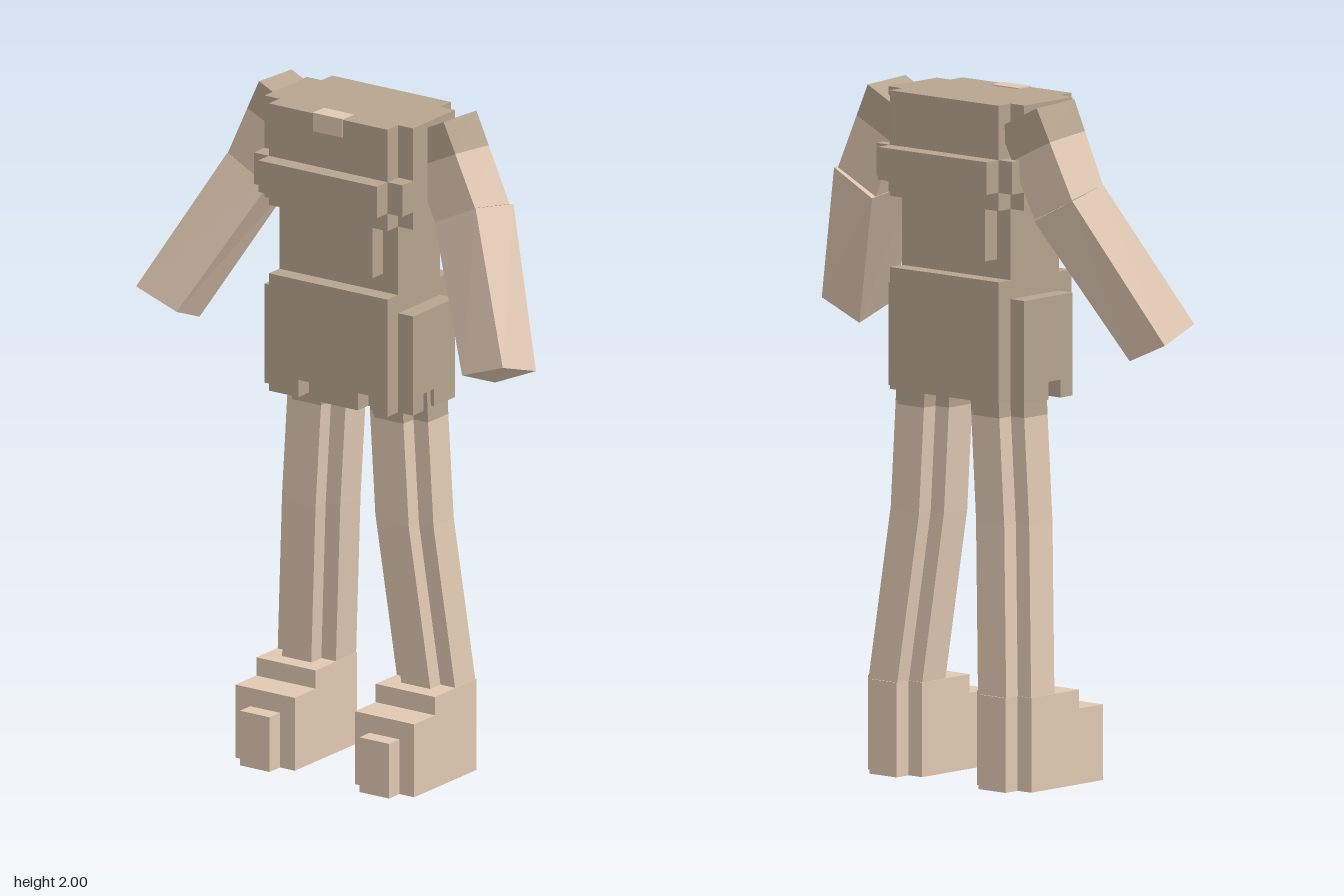
import * as THREE from 'three';

const skin = new THREE.MeshStandardMaterial({ name: 'skin', color: 0xe0c8b2 });
const cloth = new THREE.MeshStandardMaterial({ name: 'cloth', color: 0xb6a48f });

const V = 0.0522; // edge of one block
const CX = 0.007, CZ = -0.012; // torso axis

function add(group, name, geometry, material) {
  const mesh = new THREE.Mesh(geometry, material);
  mesh.name = name;
  group.add(mesh);
}

function box(x0, x1, y0, y1, z0, z1) {
  return new THREE.BoxGeometry(x1 - x0, y1 - y0, z1 - z0)
    .translate((x0 + x1) / 2, (y0 + y1) / 2, (z0 + z1) / 2);
}

// Rectangle with one block missing at each corner, in block units
const notched = (a, b) => [
  [a, 1 - b], [a, b - 1], [a - 1, b - 1], [a - 1, b], [1 - a, b], [1 - a, b - 1],
  [-a, b - 1], [-a, 1 - b], [1 - a, 1 - b], [1 - a, -b], [a - 1, -b], [a - 1, 1 - b],
];

// Upright slab from an outline on the floor plane
function slab(points, y0, y1) {
  const shape = new THREE.Shape(points.map(([x, z]) => new THREE.Vector2(x * V, z * V)));
  return new THREE.ExtrudeGeometry(shape, { depth: y1 - y0, bevelEnabled: false })
    .rotateX(Math.PI / 2).translate(CX, y1, CZ);
}

// Flat-sided skin over a chain of rings, capped at both ends; side -1 mirrors it
function loft(rings, side) {
  const r = rings.map(ring => {
    const pts = ring.map(([x, y, z]) => [x * side, y, z]);
    return side < 0 ? pts.reverse() : pts;
  });
  const pos = [];
  const tri = (...p) => p.forEach(q => pos.push(...q));
  const centre = ring => [0, 1, 2].map(k => ring.reduce((s, p) => s + p[k], 0) / ring.length);
  const n = r[0].length, last = r[r.length - 1];
  const top = centre(r[0]), bottom = centre(last);
  for (let i = 0; i < n; i++) {
    const j = (i + 1) % n;
    for (let k = 0; k + 1 < r.length; k++) {
      tri(r[k][i], r[k][j], r[k + 1][j]);
      tri(r[k][i], r[k + 1][j], r[k + 1][i]);
    }
    tri(top, r[0][j], r[0][i]);
    tri(bottom, last[i], last[j]);
  }
  const g = new THREE.BufferGeometry();
  g.setAttribute('position', new THREE.Float32BufferAttribute(pos, 3));
  g.computeVertexNormals();
  return g;
}

const mix = (a, b, t) => a.map((p, i) => p.map((v, k) => v + (b[i][k] - v) * t));

function makeTorso() {
  const g = new THREE.Group();
  g.name = 'torso';
  add(g, 'shoulders', slab(notched(5, 3), 1.83, 1.988), cloth);
  // Chest band stands out one block at front and back
  add(g, 'chestBand', slab([...notched(5, 4)], 1.735, 1.83), cloth);
  add(g, 'lowerChest', slab(notched(5, 3), 1.682, 1.735), cloth);
  add(g, 'waist', slab(notched(4, 3), 1.53, 1.682), cloth);
  add(g, 'belt', box(CX - 4 * V, CX + 4 * V, 1.475, 1.53, CZ - 2 * V, CZ + 2 * V), cloth);
  add(g, 'hipRim', box(CX - 4 * V, CX + 4 * V, 1.42, 1.475, CZ - 3 * V, CZ + 3 * V), cloth);
  add(g, 'hips', slab(notched(5, 3), 1.173, 1.42), cloth);
  // Hem with single-block gaps at the front and sides
  add(g, 'hem', slab([
    [5, -2], [5, 0], [4, 0], [4, 1], [5, 1], [5, 2], [4, 2], [4, 3],
    [3, 3], [3, 2], [2, 2], [2, 3], [-1, 3], [-1, 2], [-2, 2], [-2, 3], [-4, 3], [-4, 2],
    [-5, 2], [-5, 1], [-4, 1], [-4, 0], [-5, 0], [-5, -2], [-4, -2], [-4, -3], [4, -3], [4, -2],
  ], 1.121, 1.173), cloth);
  // Bare patch at the neckline
  add(g, 'neckline', box(-0.045, 0.06, 1.935, 1.991, 0.092, CZ + 3 * V + 0.003), skin);
  return g;
}

function makeArm(side) {
  const g = new THREE.Group();
  g.name = side > 0 ? 'leftArm' : 'rightArm';
  // Ring order: back outer, front outer, front inner, back inner
  const shoulder = [[0.325, 1.99, -0.142], [0.325, 1.998, 0.02], [0.18, 1.93, 0.02], [0.18, 1.92, -0.142]];
  const elbow = [[0.45, 1.735, -0.13], [0.435, 1.76, 0.02], [0.295, 1.69, 0.02], [0.305, 1.665, -0.13]];
  const elbowLow = [[0.458, 1.735, -0.138], [0.437, 1.76, 0.02], [0.293, 1.69, 0.02], [0.312, 1.66, -0.138]];
  const hand = [[0.66, 1.315, 0.035], [0.645, 1.36, 0.178], [0.502, 1.31, 0.178], [0.52, 1.255, 0.04]];
  const cuff = mix(shoulder, elbow, 0.37);
  add(g, 'sleeve', loft([shoulder, cuff], side), cloth);
  add(g, 'upperArm', loft([cuff, elbow], side), skin);
  add(g, 'forearm', loft([elbowLow, hand], side), skin);
  return g;
}

function makeLeg(side) {
  const g = new THREE.Group();
  g.name = side > 0 ? 'leftLeg' : 'rightLeg';
  g.position.x = 0.012;
  const ring = (x, y, z) => notched(2, 2).map(([a, b]) => [x + a * V * 0.98, y, z + b * V * 0.96]);
  const hip = ring(0.14, 1.18, -0.045), cuff = ring(0.145, 1.075, -0.045);
  const knee = ring(0.164, 0.765, -0.045), ankle = ring(0.21, 0.27, -0.088);
  add(g, 'shorts', loft([hip, cuff], side), cloth);
  add(g, 'thigh', loft([cuff, knee], side), skin);
  add(g, 'shin', loft([knee, ankle], side), skin);
  // Stepped foot: half width, height, back, front
  [
    ['heel', V, 0.275, -0.192, -0.14],
    ['ankle', 2 * V, 0.275, -0.14, 0.065],
    ['instep', 2 * V, 0.22, 0.065, 0.168],
    ['toe', V, 0.165, 0.168, 0.219],
  ].forEach(([name, w, h, z0, z1]) =>
    add(g, name, box(side * 0.21 - w, side * 0.21 + w, 0, h, z0, z1), skin));
  return g;
}

export function createModel() {
  const model = new THREE.Group();
  model.name = 'blockFigure';
  model.add(makeTorso());
  for (const side of [1, -1]) model.add(makeArm(side), makeLeg(side));
  return model;
}
